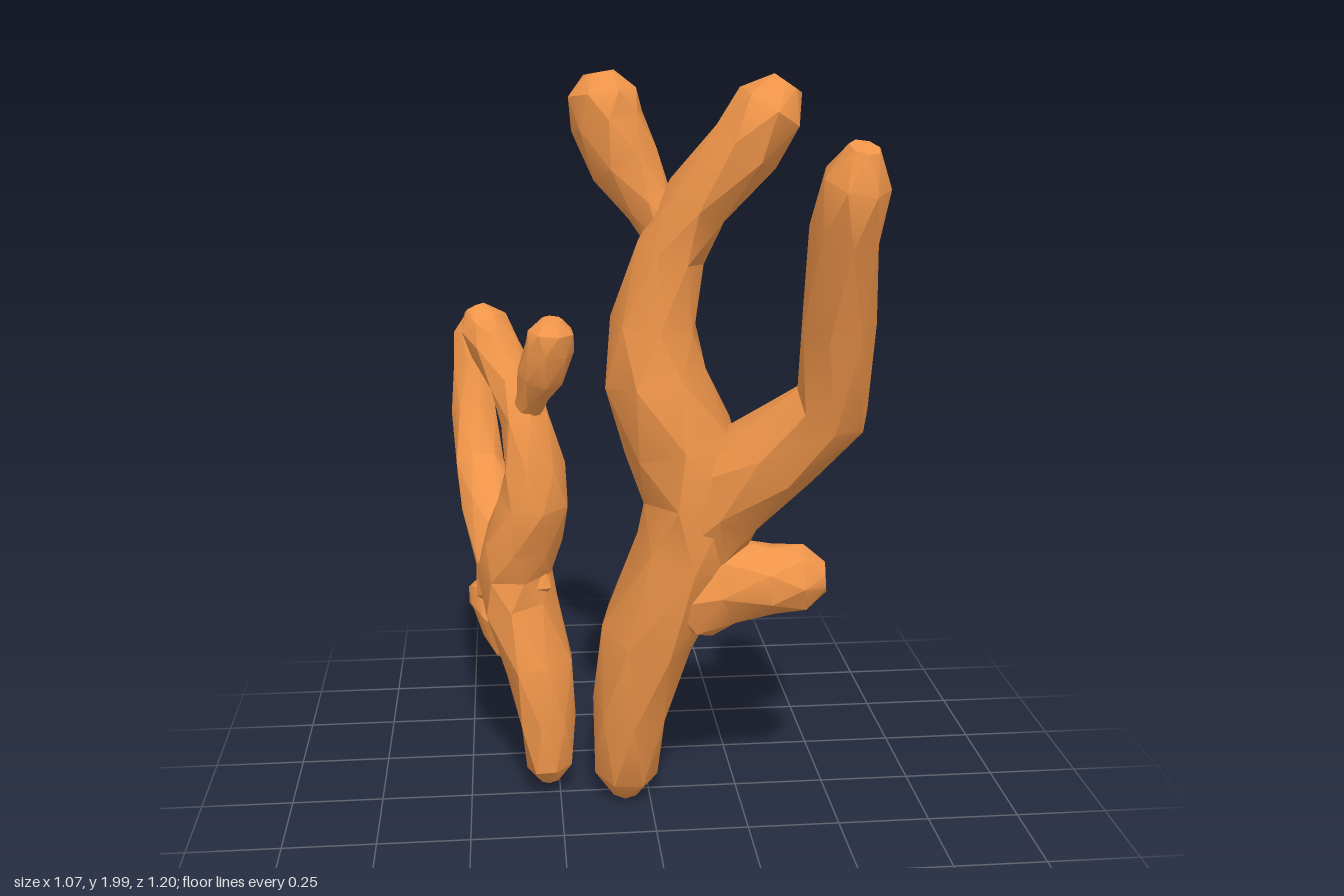
import * as THREE from 'three';
import { toCreasedNormals } from 'three/addons/utils/BufferGeometryUtils.js';

const SIDES = 7;
const material = new THREE.MeshStandardMaterial({ color: 0xee9449 });

// Closed limb swept through [x, y, z, radius]; 'wide' is the direction in which it is flattened outwards
function limb(name, points, stretch, wide) {
  const curve = new THREE.CatmullRomCurve3(points.map(([x, y, z]) => new THREE.Vector3(x, y, z)));
  const n = points.length - 1;
  // One ring per point, plus one near each end to round it off
  const stations = [0, 0.25, ...points.slice(1, -1).map((p, i) => i + 1), n - 0.4, n];
  const positions = [], index = [];
  stations.forEach((s, i) => {
    const centre = curve.getPoint(s / n), t = curve.getTangent(s / n);
    const u = wide.clone().addScaledVector(t, -wide.dot(t)).normalize();
    const v = t.clone().cross(u);
    const taper = s === 0 || s === n ? 0.5 : 1.05;
    const r = taper * THREE.MathUtils.lerp(points[Math.floor(s)][3], points[Math.ceil(s)][3], s % 1);
    for (let j = 0; j < SIDES; j++) {
      const a = (j + 0.5 * (i % 2)) / SIDES * Math.PI * 2;
      const p = centre.clone()
        .addScaledVector(u, Math.cos(a) * r * stretch)
        .addScaledVector(v, Math.sin(a) * r);
      positions.push(p.x, p.y, p.z);
    }
  });
  // Staggered rings joined by triangles, the diagonal alternating with the stagger
  const last = (stations.length - 1) * SIDES;
  for (let a = 0; a < last; a++) {
    const b = a % SIDES === SIDES - 1 ? a + 1 - SIDES : a + 1;
    const c = b + SIDES, d = a + SIDES;
    if (Math.floor(a / SIDES) % 2) index.push(a, b, c, a, c, d);
    else index.push(a, b, d, b, c, d);
  }
  // Flat end caps
  for (let j = 1; j < SIDES - 1; j++) {
    index.push(0, j + 1, j, last, last + j, last + j + 1);
  }
  const geometry = new THREE.BufferGeometry();
  geometry.setAttribute('position', new THREE.Float32BufferAttribute(positions, 3));
  geometry.setIndex(index);
  const mesh = new THREE.Mesh(toCreasedNormals(geometry, 0.5), material);
  mesh.name = name;
  return mesh;
}

export function createModel() {
  const model = new THREE.Group();
  model.name = 'coral';
  const alongX = new THREE.Vector3(1, 0, 0), alongZ = new THREE.Vector3(0, 0, 1);

  // Forked stem shared by both corals
  const stem = new THREE.Group();
  stem.name = 'largeStem';
  stem.add(
    limb('trunk', [
      [-0.07, 0.005, 0.01, 0.08], [-0.05, 0.27, 0.02, 0.103], [-0.01, 0.5, 0.04, 0.125],
      [0.1, 0.74, 0.07, 0.135], [0.12, 0.9, 0.07, 0.14], [0.075, 1.05, 0.06, 0.145],
      [0.01, 1.22, 0.05, 0.13], [0.01, 1.36, 0.05, 0.11], [0.05, 1.55, 0.06, 0.088],
      [0.12, 1.68, 0.09, 0.085], [0.23, 1.82, 0.13, 0.09], [0.33, 1.97, 0.14, 0.085]], 1.32, alongZ),
    limb('topBranch', [
      [0.07, 1.55, 0.06, 0.06], [0.0, 1.66, 0.03, 0.062], [-0.06, 1.76, 0, 0.088],
      [-0.105, 1.87, -0.01, 0.092], [-0.125, 1.99, -0.015, 0.08]], 1.12, alongZ));
  model.add(stem);

  // Smaller coral: the same stem turned and scaled down
  const smallStem = stem.clone();
  smallStem.name = 'smallStem';
  smallStem.scale.setScalar(0.67);
  smallStem.rotation.y = THREE.MathUtils.degToRad(-212);
  smallStem.position.set(-0.318, 0.035, -0.03);
  model.add(smallStem);

  // Branches of the large coral
  model.add(
    limb('largeLongBranch', [
      [0.11, 0.74, 0.07, 0.12], [0.19, 0.93, 0.11, 0.135], [0.33, 1.06, 0.2, 0.11],
      [0.435, 1.19, 0.3, 0.092], [0.425, 1.42, 0.37, 0.088], [0.415, 1.65, 0.47, 0.08],
      [0.44, 1.845, 0.53, 0.075]], 1.22, alongZ),
    limb('largeSideBranch', [
      [0.06, 0.58, 0.09, 0.11], [0.2, 0.675, 0.125, 0.115],
      [0.32, 0.685, 0.16, 0.09], [0.455, 0.695, 0.185, 0.08]], 1.1, alongZ));

  // Branches of the small coral
  model.add(
    limb('smallLongBranch', [
      [-0.36, 0.54, -0.08, 0.09], [-0.375, 0.67, -0.14, 0.09], [-0.43, 0.78, -0.27, 0.068],
      [-0.46, 0.86, -0.4, 0.06], [-0.47, 1.0, -0.485, 0.056], [-0.47, 1.14, -0.535, 0.052],
      [-0.465, 1.275, -0.565, 0.047]], 1.15, alongX),
    limb('smallSideBranch', [
      [-0.33, 0.41, -0.06, 0.08], [-0.39, 0.48, -0.15, 0.08],
      [-0.43, 0.5, -0.23, 0.06], [-0.46, 0.5, -0.33, 0.05]], 1, alongX));

  return model;
}
